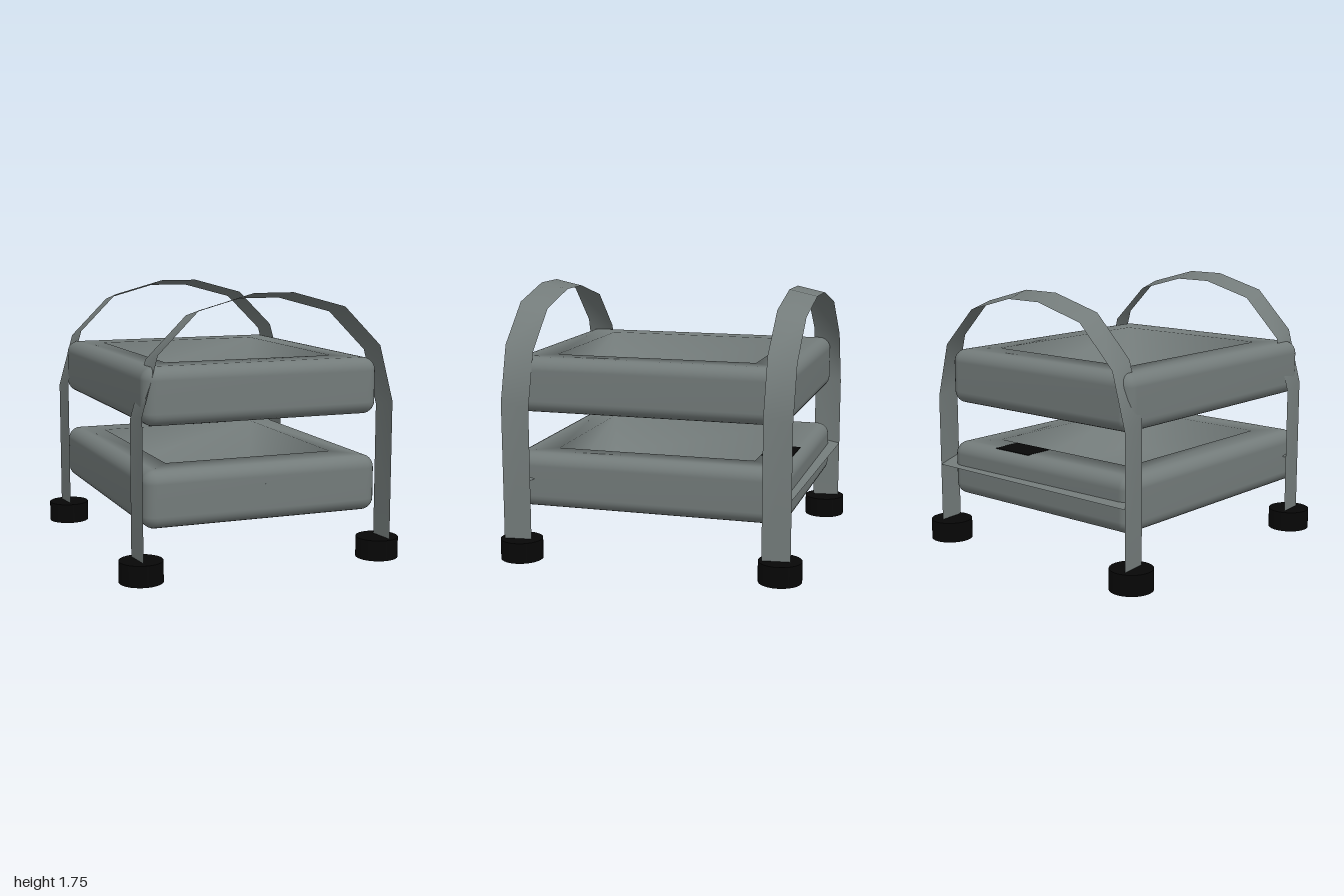
import * as THREE from 'three';
import { mergeVertices } from 'three/addons/utils/BufferGeometryUtils.js';

const grey = new THREE.MeshStandardMaterial({ color: 0x737b7a, side: THREE.DoubleSide });
grey.name = 'grey metal';
const black = new THREE.MeshStandardMaterial({ color: 0x070707 });
black.name = 'black rubber';

function addMesh(parent, name, geometry, material) {
  const mesh = new THREE.Mesh(geometry, material);
  mesh.name = name;
  parent.add(mesh);
  return mesh;
}

// Rounded tray with a deep rectangular recess, built as stacked horizontal loops
function trayGeometry() {
  const hx = 0.783, hz = 0.92, h = 0.36, r = 0.08, depth = 0.29, steps = 6;
  const sections = [[0, 0, 0, 0]]; // half width, half depth, corner radius, y
  for (let i = 0; i <= steps; i++) {
    const a = (i / steps) * Math.PI / 2;
    sections.push([hx - r, hz - r, r * Math.sin(a), r - r * Math.cos(a)]);
  }
  for (let i = 0; i <= steps; i++) {
    const a = (i / steps) * Math.PI / 2;
    sections.push([hx - r, hz - r, r * Math.cos(a), h - r + r * Math.sin(a)]);
  }
  sections.push([0.565, 0.665, 0, h], [0.565, 0.665, 0, h - depth], [0, 0, 0, h - depth]);

  const corners = [[1, 1], [-1, 1], [-1, -1], [1, -1]], per = steps + 1, n = 4 * per;
  const pos = [], index = [];
  for (const [w, d, rad, y] of sections) {
    corners.forEach(([sx, sz], c) => {
      for (let k = 0; k < per; k++) {
        const a = (c + k / steps) * Math.PI / 2;
        pos.push(sx * w + rad * Math.cos(a), y, sz * d + rad * Math.sin(a));
      }
    });
  }
  for (let i = 0; i < sections.length - 1; i++) {
    for (let j = 0; j < n; j++) {
      const a = i * n + j, b = i * n + (j + 1) % n;
      index.push(a, a + n, b, b, a + n, b + n);
    }
  }
  const g = new THREE.BufferGeometry();
  g.setAttribute('position', new THREE.Float32BufferAttribute(pos, 3));
  g.setIndex(index);
  const smooth = mergeVertices(g);
  smooth.computeVertexNormals();
  return smooth;
}

// Thin ribbon swept backwards from a front edge, slightly skewed
function ribbonGeometry(path, zFront) {
  const pos = [], index = [];
  path.forEach(([x, y], i) => {
    const z = zFront + 0.016 * x;
    pos.push(x, y, z, x - 0.02, y - 0.042, z - 0.18);
    if (i) {
      const a = 2 * i - 2;
      index.push(a, a + 2, a + 1, a + 1, a + 2, a + 3);
    }
  });
  const g = new THREE.BufferGeometry();
  g.setAttribute('position', new THREE.Float32BufferAttribute(pos, 3));
  g.setIndex(index);
  g.computeVertexNormals();
  return g;
}

export function createModel() {
  const model = new THREE.Group();
  model.name = 'trayCart';

  // Two trays
  const tray = trayGeometry();
  for (const [name, y] of [['lowerTray', 0.33], ['upperTray', 0.958]]) {
    addMesh(model, name, tray, grey).position.set(-0.027, y, 0.03);
  }

  // Dark pad set into the rear rim of the lower tray
  addMesh(model, 'rimPad', new THREE.BoxGeometry(0.3, 0.004, 0.2), black).position.set(0.23, 0.6895, -0.74);

  // Arched legs and cross straps, front and rear
  const arch = [[-0.82, 0.1], [-0.82, 1.03], [-0.72, 1.39], [-0.46, 1.65], [-0.11, 1.745],
    [0.15, 1.745], [0.5, 1.65], [0.75, 1.4], [0.845, 1.04], [0.845, 0.1]];
  const strap = [[-0.82, 0.567], [0.845, 0.567]];
  for (const [side, z] of [['front', 0.955], ['rear', -0.764]]) {
    addMesh(model, side + 'Arch', ribbonGeometry(arch, z), grey);
    addMesh(model, side + 'CrossStrap', ribbonGeometry(strap, z), grey);
  }

  // Feet
  const foot = new THREE.CylinderGeometry(0.138, 0.138, 0.135, 32);
  for (const x of [-0.81, 0.81]) {
    for (const z of [-0.862, 0.862]) {
      addMesh(model, 'foot', foot, black).position.set(x, 0.0675, z);
    }
  }
  return model;
}
